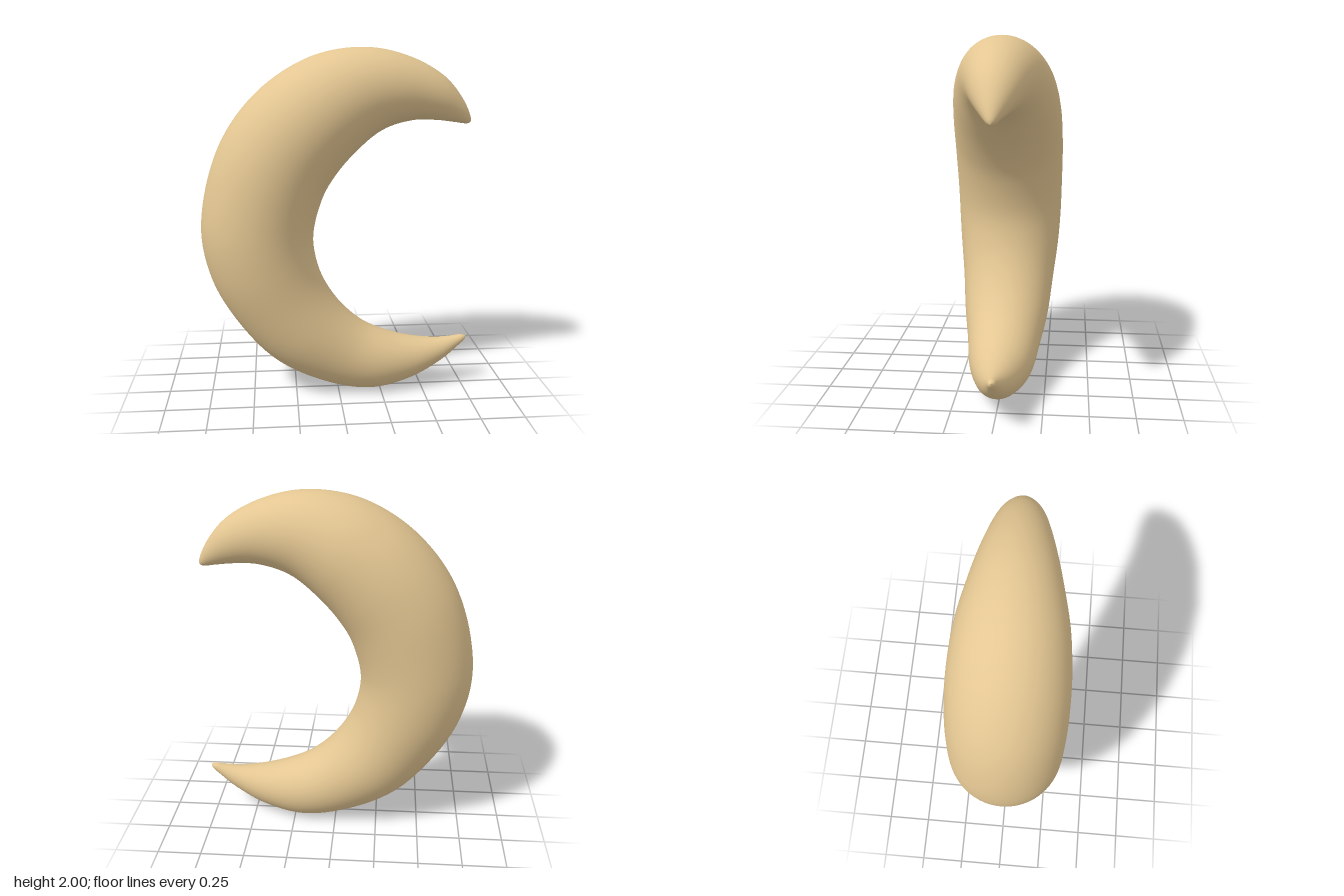
import * as THREE from 'three';

// Matching points on the outer and inner edge of the crescent: [outerX, outerY, innerX, innerY]
const EDGES = [
  [0.757, 1.583, 0.757, 1.583],
  [0.756, 1.61, 0.735, 1.576],
  [0.71, 1.71, 0.66, 1.585],
  [0.6, 1.84, 0.56, 1.597],
  [0.4, 1.95, 0.42, 1.597],
  [0.15, 2.0, 0.25, 1.545],
  [-0.15, 1.95, 0.1, 1.425],
  [-0.45, 1.76, -0.02, 1.285],
  [-0.67, 1.46, -0.09, 1.16],
  [-0.78, 1.02, -0.143, 0.95],
  [-0.735, 0.72, -0.125, 0.79],
  [-0.6, 0.46, -0.07, 0.65],
  [-0.38, 0.21, 0.03, 0.51],
  [-0.1, 0.06, 0.16, 0.4],
  [0.18, 0.0, 0.31, 0.335],
  [0.43, 0.05, 0.46, 0.3],
  [0.62, 0.15, 0.6, 0.29],
  [0.72, 0.23, 0.69, 0.297],
  [0.768, 0.275, 0.745, 0.304],
  [0.776, 0.297, 0.776, 0.297],
];

const edgeCurve = (k) =>
  new THREE.CatmullRomCurve3(EDGES.map((e) => new THREE.Vector3(e[k], e[k + 1], 0)));

// Round cross-sections spanning the two edges, swept from the upper tip to the lower tip
function crescentGeometry(rings = 152, sides = 64) {
  const outer = edgeCurve(0);
  const inner = edgeCurve(2);
  const positions = [];
  const indices = [];
  for (let i = 0; i <= rings; i++) {
    const o = outer.getPoint(i / rings);
    const n = inner.getPoint(i / rings);
    const mid = o.clone().add(n).multiplyScalar(0.5);
    const half = o.clone().sub(mid);
    const radius = half.length();
    for (let j = 0; j < sides; j++) {
      const a = (j / sides) * Math.PI * 2;
      const c = Math.cos(a);
      positions.push(mid.x + half.x * c, mid.y + half.y * c, radius * Math.sin(a));
      if (i === rings) continue;
      const k = (j + 1) % sides;
      const p = i * sides;
      const q = p + sides;
      if (i < rings - 1) indices.push(p + j, q + j, q + k);
      if (i > 0) indices.push(p + j, q + k, p + k);
      if (i === rings - 1) indices.push(p + j, q + j, q + k);
    }
  }
  const geometry = new THREE.BufferGeometry();
  geometry.setAttribute('position', new THREE.Float32BufferAttribute(positions, 3));
  geometry.setIndex(indices);
  geometry.computeVertexNormals();
  // Each tip is a single point, so give it one normal along the tip direction
  const normal = geometry.attributes.normal;
  for (let j = 0; j < sides; j++) {
    normal.setXYZ(j, 0.85, -0.53, 0);
    normal.setXYZ(rings * sides + j, 0.85, 0.53, 0);
  }
  return geometry;
}

export function createModel() {
  const group = new THREE.Group();
  group.name = 'crescentModel';
  const crescent = new THREE.Mesh(
    crescentGeometry(),
    new THREE.MeshStandardMaterial({ color: 0xe3c692 })
  );
  crescent.name = 'crescent';
  group.add(crescent);
  return group;
}
